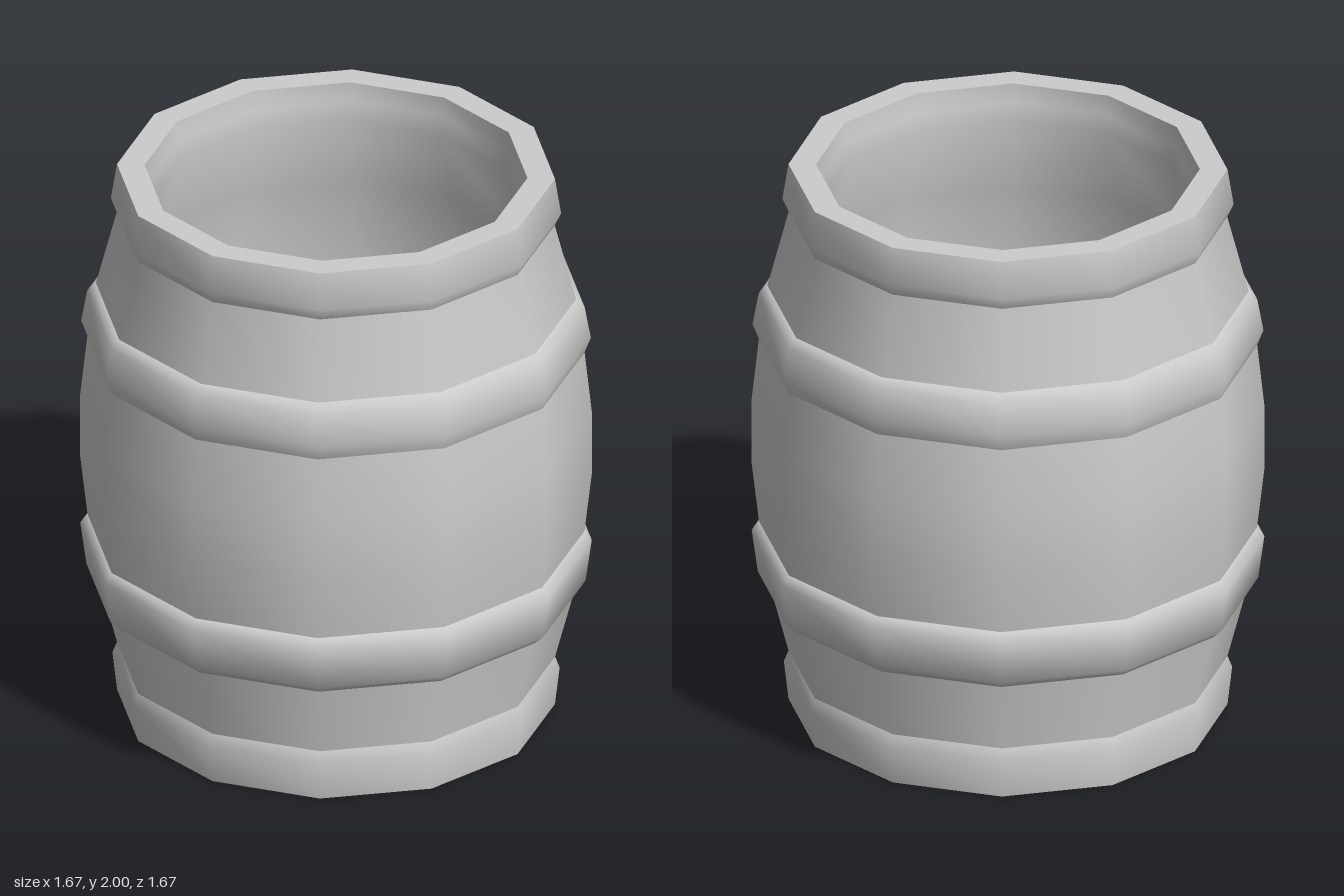
import * as THREE from 'three';
import { toCreasedNormals } from 'three/addons/utils/BufferGeometryUtils.js';

const SIDES = 12;
const FLAT = Math.cos(Math.PI / SIDES); // flat-to-flat radius -> corner radius

export function createModel() {
  const barrel = new THREE.Group();
  barrel.name = 'barrel';
  const material = new THREE.MeshStandardMaterial({ color: 0xcccccc });

  // Twelve-sided turned part; profile gives [radius at the flats, height]
  function turned(name, profile) {
    const points = profile.map(([r, y]) => new THREE.Vector2(r / FLAT, y));
    const lathe = new THREE.LatheGeometry(points, SIDES, Math.PI / SIDES);
    const mesh = new THREE.Mesh(toCreasedNormals(lathe, 1.0), material);
    mesh.name = name;
    barrel.add(mesh);
  }

  // Closed ring: outer profile from bottom to top, closed by an inner face
  function hoop(name, outer, inner) {
    const bottom = outer[0], top = outer[outer.length - 1];
    turned(name, [...outer, [inner, top[1]], [inner, bottom[1]], bottom]);
  }

  // Hollow body: recessed underside, bulging staves, rim, inside wall and floor
  turned('body', [
    [0, 0.07], [0.62, 0.07], [0.62, 0], [0.7, 0],
    [0.715, 0.18], [0.795, 0.5], [0.812, 0.67], [0.835, 0.88],
    [0.835, 1.12], [0.812, 1.34], [0.795, 1.5], [0.715, 1.82],
    [0.7, 2], [0.625, 2], [0.62, 1.93], [0.605, 1.87],
    [0.69, 1.58], [0.72, 1.2], [0.72, 0.8], [0.69, 0.42],
    [0.62, 0.13], [0, 0.13],
  ]);

  // Hoops around the ends and the belly
  hoop('bottomHoop', [[0.715, 0], [0.73, 0.14], [0.715, 0.18]], 0.7);
  hoop('lowerHoop', [[0.785, 0.445], [0.815, 0.475], [0.835, 0.63], [0.81, 0.665]], 0.75);
  hoop('upperHoop', [[0.81, 1.34], [0.832, 1.4], [0.812, 1.515], [0.788, 1.545]], 0.75);
  hoop('topHoop', [[0.715, 1.825], [0.735, 1.87], [0.715, 2]], 0.7);

  return barrel;
}
